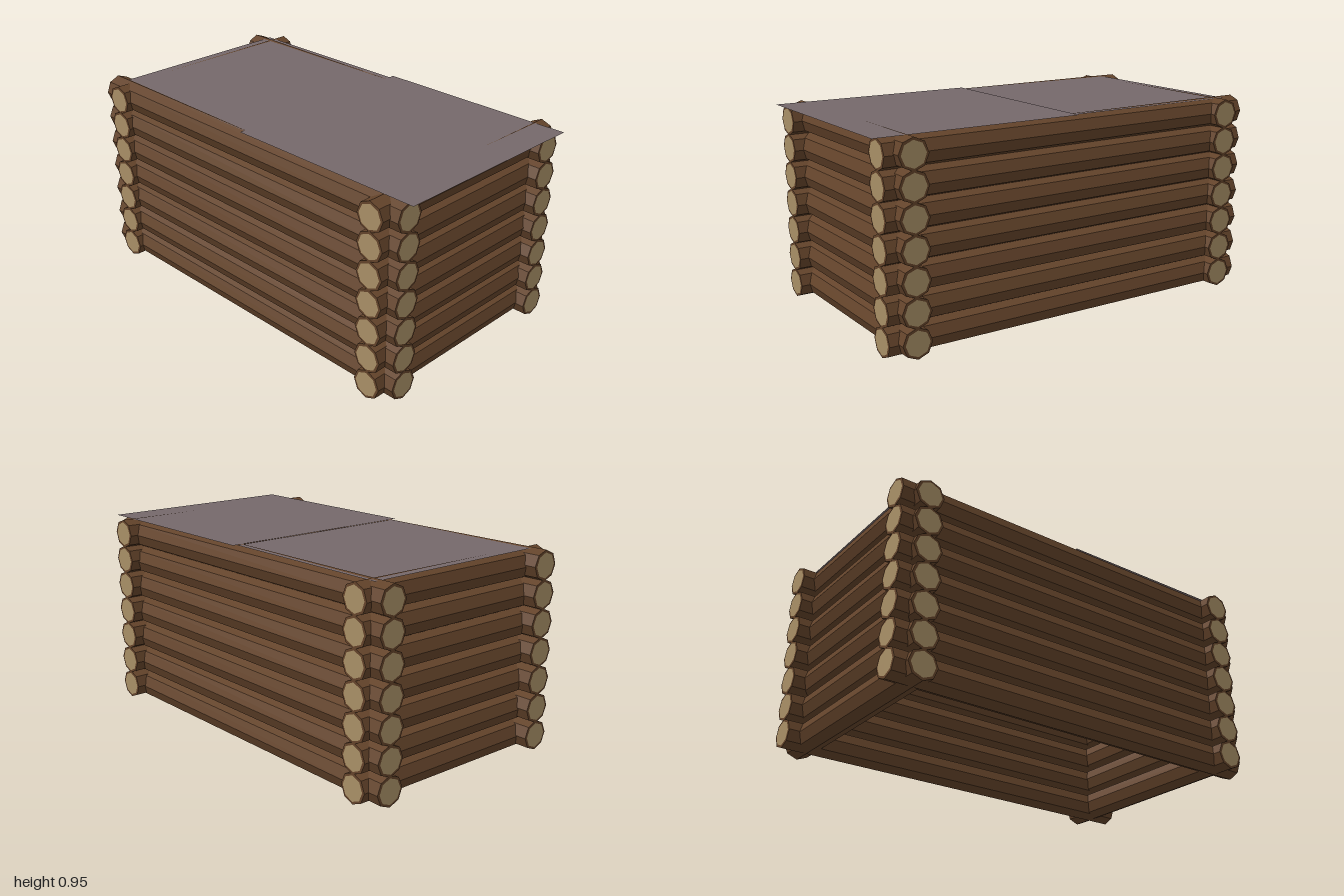
import * as THREE from 'three';

const bark = new THREE.MeshStandardMaterial({ color: 0x63432a, flatShading: true });
const cutWood = new THREE.MeshStandardMaterial({ color: 0xa88f66, flatShading: true });
const slate = new THREE.MeshStandardMaterial({ color: 0x75686a, side: THREE.DoubleSide });

const RADIUS = 0.071, ROWS = 7, FIRST_ROW = 0.073, ROW_STEP = 0.134;

// Eight-sided log lying along x, with a pale cut face on each end
function makeLog(name, length, roll) {
  const log = new THREE.Group();
  log.name = name;
  const trunk = new THREE.Mesh(
    new THREE.CylinderGeometry(RADIUS, RADIUS, length, 8).rotateZ(Math.PI / 2).rotateX(roll), bark);
  trunk.name = 'bark';
  log.add(trunk);
  for (const side of [-1, 1]) {
    const face = new THREE.Mesh(new THREE.CircleGeometry(0.059, 8).rotateZ(roll * -side), cutWood);
    face.name = 'cutEnd';
    face.rotation.y = side * Math.PI / 2;
    face.position.x = side * (length / 2 + 0.0015);
    log.add(face);
  }
  return log;
}

// Flat roof sheet given by its edges
function makeSheet(name, x0, x1, z0, z1, y) {
  const sheet = new THREE.Mesh(new THREE.PlaneGeometry(x1 - x0, z1 - z0).rotateX(-Math.PI / 2), slate);
  sheet.name = name;
  sheet.position.set((x0 + x1) / 2, y, (z0 + z1) / 2);
  return sheet;
}

export function createModel() {
  const model = new THREE.Group();
  model.name = 'logCabin';

  for (let row = 0; row < ROWS; row++) {
    const y = FIRST_ROW + row * ROW_STEP;
    const roll = 0.03 * Math.sin(row * 2.3);

    // Long front and back walls, sagging slightly towards +x
    for (const [name, z] of [['frontLog', 0.467], ['backLog', -0.467]]) {
      const log = makeLog(name, 1.952, roll);
      log.position.set(-0.022, y, z);
      log.rotation.z = -0.004;
      model.add(log);
    }

    // Short end walls
    for (const [name, x, z, length] of [['leftLog', 0.842, 0, 1.155], ['rightLog', -0.875, -0.003, 1.115]]) {
      const log = makeLog(name, length, -roll);
      log.position.set(x, y, z);
      log.rotation.set(0, Math.PI / 2, 0.004);
      model.add(log);
    }
  }

  // Two overlapping flat roof sheets
  model.add(makeSheet('leftRoofSheet', -0.02, 0.997, -0.52, 0.5, 0.9485));
  model.add(makeSheet('rightRoofSheet', -0.92, -0.02, -0.495, 0.475, 0.947));
  return model;
}
